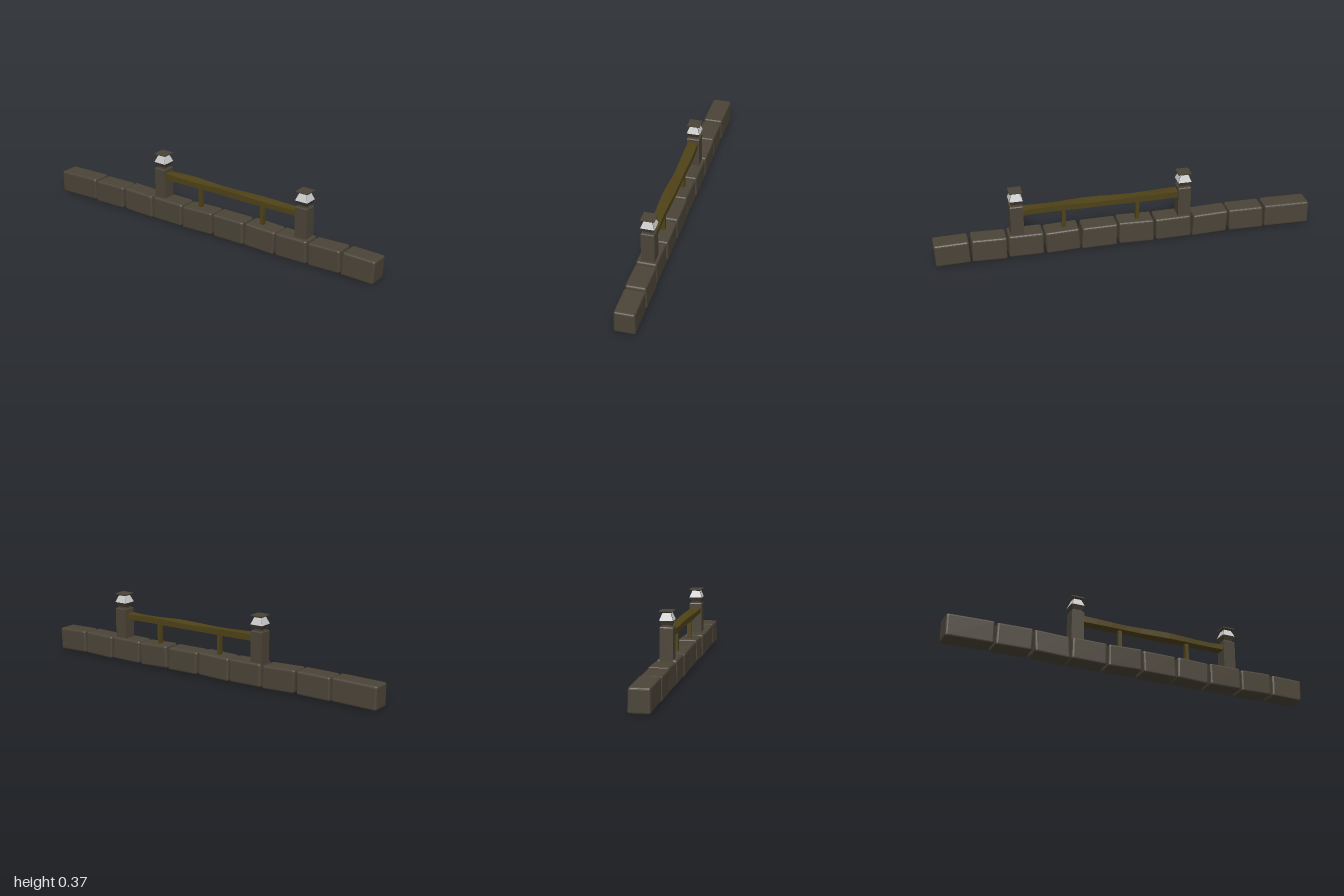
import * as THREE from 'three';
import { RoundedBoxGeometry } from 'three/addons/geometries/RoundedBoxGeometry.js';

const material = (color) => new THREE.MeshStandardMaterial({ color, flatShading: true });
const stone = material(0x4b4438);
const wood = material(0x4f4218);
const glass = material(0xcccccc);

// Square-sided turned form from [half width, height] pairs, bottom to top
function squareLathe(profile) {
  const points = profile.map(([half, y]) => new THREE.Vector2(half * Math.SQRT2, y));
  return new THREE.LatheGeometry(points, 4, Math.PI / 4);
}

function addMesh(parent, name, geometry, mat, x = 0, y = 0, z = 0) {
  const mesh = new THREE.Mesh(geometry, mat);
  mesh.name = name;
  mesh.position.set(x, y, z);
  parent.add(mesh);
  return mesh;
}

// Worn stone block: a rounded box, slightly sheared and tapered
function blockGeometry(x0, x1, i) {
  const w = x1 - x0, h = 0.122;
  const geometry = new RoundedBoxGeometry(w, h, 0.106, 2, 0.011);
  const p = geometry.attributes.position;
  const slant = 0.006 * Math.sin(i * 2.3), tilt = 0.003 * Math.sin(i * 1.7 + 1);
  for (let k = 0; k < p.count; k++) {
    const u = p.getX(k) / w, v = p.getY(k) / h, z = p.getZ(k);
    p.setX(k, u * (w - Math.abs(slant)) + slant * v);
    p.setY(k, v * h + tilt * u * 2);
    p.setZ(k, z * (1 - 0.03 * v) + tilt * v);
  }
  geometry.computeVertexNormals();
  return geometry;
}

// Rough timber along x, with a gently wandering outline
function railGeometry(length) {
  const geometry = new THREE.BoxGeometry(length, 0.03, 0.054, 10, 1, 2);
  const p = geometry.attributes.position;
  for (let k = 0; k < p.count; k++) {
    const x = p.getX(k), y = p.getY(k), z = p.getZ(k);
    if (y > 0) p.setY(k, y + 0.003 * Math.sin(x * 13 + z * 40) - 0.004 * x);
    p.setZ(k, z * (1 + 0.08 * Math.sin(x * 17)) + 0.002 * Math.sin(x * 9));
  }
  geometry.computeVertexNormals();
  return geometry;
}

// Stone post with a lantern on top
function createPost(name, x) {
  const post = new THREE.Group();
  post.name = name;
  post.position.set(x, 0, -0.003);
  addMesh(post, 'postShaft', squareLathe([
    [0, 0.12], [0.034, 0.12], [0.034, 0.286], [0.031, 0.291], [0, 0.291],
  ]), stone);
  addMesh(post, 'lanternBase', squareLathe([
    [0, 0.289], [0.024, 0.289], [0.024, 0.3], [0.036, 0.323], [0, 0.323],
  ]), stone);
  addMesh(post, 'lanternGlass', squareLathe([[0.036, 0.323], [0.021, 0.361]]), glass);
  // Corner bars of the lantern
  for (const sx of [-1, 1]) for (const sz of [-1, 1]) {
    const path = new THREE.LineCurve3(
      new THREE.Vector3(sx * 0.0355, 0.323, sz * 0.0355),
      new THREE.Vector3(sx * 0.0205, 0.361, sz * 0.0205));
    addMesh(post, 'lanternBar', new THREE.TubeGeometry(path, 1, 0.0012, 4), stone);
  }
  addMesh(post, 'lanternCap', squareLathe([
    [0, 0.36], [0.022, 0.36], [0.034, 0.366], [0.034, 0.372], [0, 0.372],
  ]), stone);
  return post;
}

export function createModel() {
  const group = new THREE.Group();
  group.name = 'lanternWall';

  // Row of foundation blocks, given by their joints along x
  const joints = [-1.003, -0.75, -0.55, -0.35, -0.15, 0.045, 0.243, 0.433, 0.623, 0.812, 1.003];
  const blocks = new THREE.Group();
  blocks.name = 'stoneBlocks';
  group.add(blocks);
  for (let i = 0; i < joints.length - 1; i++) {
    const x0 = joints[i] + 0.003, x1 = joints[i + 1] - 0.003;
    addMesh(blocks, 'stoneBlock', blockGeometry(x0, x1, i), stone,
      (x0 + x1) / 2, 0.067, 0.002 * Math.sin(i * 2));
  }

  group.add(createPost('rightPost', -0.31), createPost('leftPost', 0.57));

  // Timber rail and its two short supports
  addMesh(group, 'rail', railGeometry(0.83), wood, 0.13, 0.251, -0.003);
  for (const x of [-0.063, 0.325]) {
    addMesh(group, 'railSupport', new THREE.BoxGeometry(0.02, 0.122, 0.022), wood, x, 0.181, -0.003);
  }
  return group;
}
